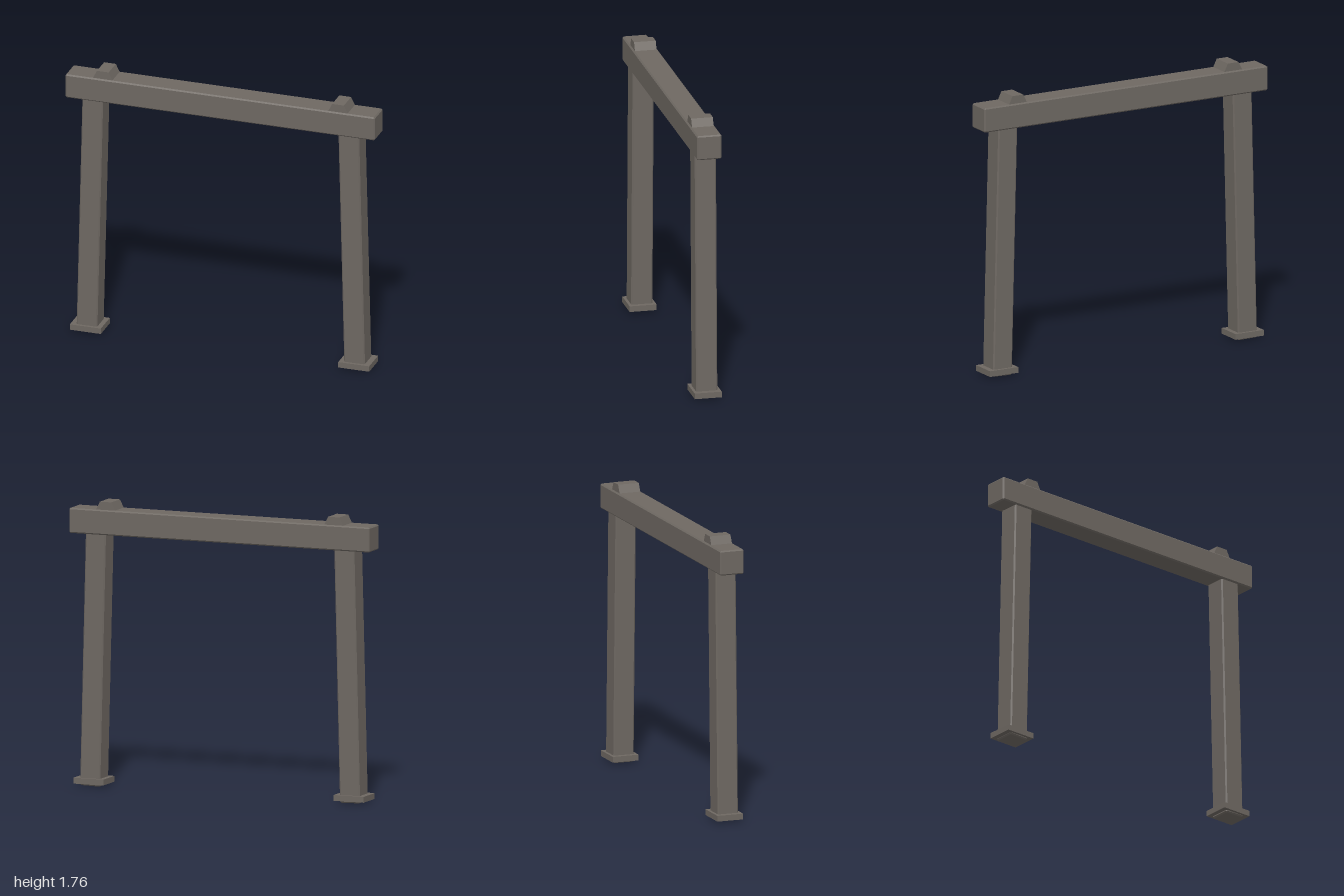
import * as THREE from 'three';
import { ConvexGeometry } from 'three/addons/geometries/ConvexGeometry.js';

// Box with every edge and corner chamfered by c
function chamferBox(w, h, d, c) {
  const half = [w / 2, h / 2, d / 2];
  const points = [];
  for (const sx of [-1, 1]) for (const sy of [-1, 1]) for (const sz of [-1, 1]) {
    for (let axis = 0; axis < 3; axis++) {
      const p = half.map((v, i) => (i === axis ? v : v - c));
      points.push(new THREE.Vector3(p[0] * sx, p[1] * sy, p[2] * sz));
    }
  }
  return new ConvexGeometry(points);
}

export function createModel() {
  const group = new THREE.Group();
  const stone = new THREE.MeshStandardMaterial({ color: 0x6e6862 });
  stone.name = 'greyBrown';

  const add = (name, geometry, x, y, tilt = 0) => {
    const mesh = new THREE.Mesh(geometry, stone);
    mesh.name = name;
    mesh.position.set(x, y, 0);
    mesh.rotation.z = tilt;
    group.add(mesh);
  };

  // Crossbeam
  add('crossbeam', chamferBox(2, 0.155, 0.155, 0.008), 0, 1.638);

  // Post, plinth and wedge-shaped cap, mirrored left and right
  const tilt = 0.0245;
  const postLength = 1.6;
  const post = chamferBox(0.134, postLength, 0.134, 0.008);
  const plinth = new THREE.BoxGeometry(0.2, 0.036, 0.17);

  const profile = new THREE.Shape();
  profile.moveTo(-0.064, 0);
  profile.lineTo(0.064, 0);
  profile.lineTo(0.038, 0.053);
  profile.lineTo(-0.038, 0.053);
  const cap = new THREE.ExtrudeGeometry(profile, { depth: 0.136, bevelEnabled: false });
  cap.translate(0, 0, -0.068);

  for (const [side, s] of [['left', 1], ['right', -1]]) {
    add(side + 'Post', post, s * 0.846, 0.002 + postLength / 2, s * tilt);
    add(side + 'Plinth', plinth, s * 0.867, 0.032);
    add(side + 'Cap', cap, s * 0.76, 1.712);
  }
  return group;
}
